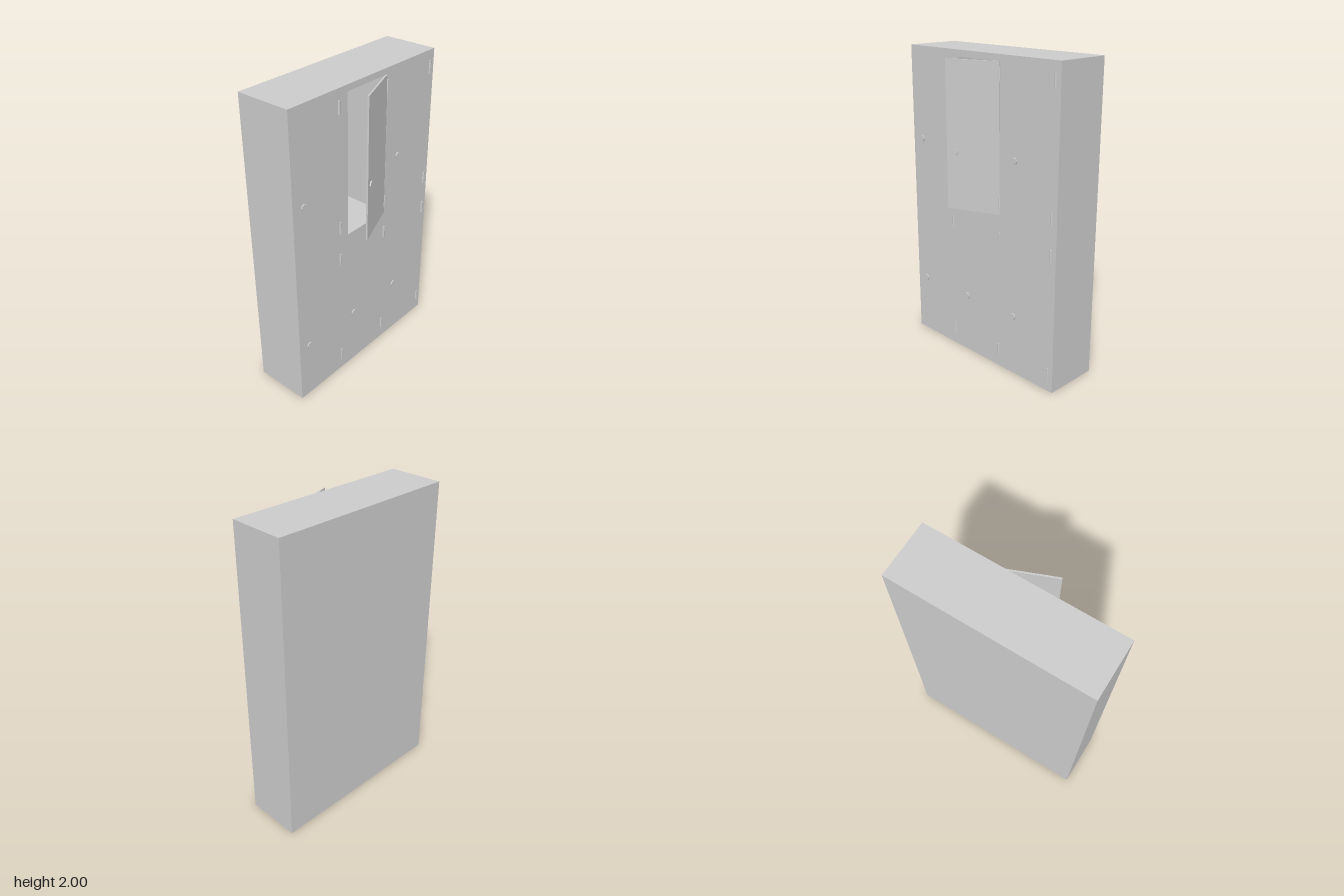
import * as THREE from 'three';

export function createModel() {
  const group = new THREE.Group();
  const mat = new THREE.MeshStandardMaterial({ color: 0xcccccc, flatShading: true });
  const FRONT = 0.115, BACK = -0.25, WALL = 0.04, PITCH = 0.42;
  const DOOR_W = 0.347, DOOR_H = 0.92, OPEN = THREE.MathUtils.degToRad(22);

  function add(parent, name, geometry, x = 0, y = 0, z = 0) {
    const mesh = new THREE.Mesh(geometry, mat);
    mesh.name = name;
    mesh.position.set(x, y, z);
    parent.add(mesh);
    return mesh;
  }

  // Rectangle path in the plane of the locker face
  function rect(path, a0, a1, y0, y1) {
    path.moveTo(a0, y0);
    path.lineTo(a1, y0);
    path.lineTo(a1, y1);
    path.lineTo(a0, y1);
    path.closePath();
    return path;
  }

  // Cabinet body with the one open compartment cut into it
  const face = rect(new THREE.Shape(), -0.63, 0.63, 0, 2);
  face.holes.push(rect(new THREE.Path(), -0.175, 0.175, 1.04, 1.96));
  const body = new THREE.ExtrudeGeometry(face, { depth: FRONT - BACK - WALL, bevelEnabled: false });
  body.rotateY(Math.PI / 2);
  add(group, 'cabinetBody', body, BACK + WALL);
  add(group, 'backPanel', new THREE.BoxGeometry(WALL, 2, 1.26), BACK + WALL / 2, 1, 0);

  const hingeGeo = new THREE.CylinderGeometry(0.008, 0.008, 0.08, 8);
  const knobGeo = new THREE.CylinderGeometry(0.022, 0.022, 0.016, 8).rotateZ(Math.PI / 2);

  // Two rows of three doors; closed ones lie flush with the body
  for (const bottom of [0.04, 1.04]) {
    for (const column of [-1, 0, 1]) {
      const door = new THREE.Group();
      const isOpen = bottom > 1 && column === 0;
      door.name = isOpen ? 'openDoor' : 'closedDoor';
      door.position.set(FRONT, bottom, column * PITCH - 0.173);
      group.add(door);

      add(door, 'lowerHinge', hingeGeo, 0, 0.08, 0);
      add(door, 'upperHinge', hingeGeo, 0, 0.85, 0);
      add(door, 'knob', knobGeo, 0, 0.36, 0.297);
      if (isOpen) {
        add(door, 'doorPanel', new THREE.BoxGeometry(0.01, DOOR_H, DOOR_W), -0.005, DOOR_H / 2, DOOR_W / 2);
        door.rotation.y = OPEN;
      }
    }
  }
  return group;
}
